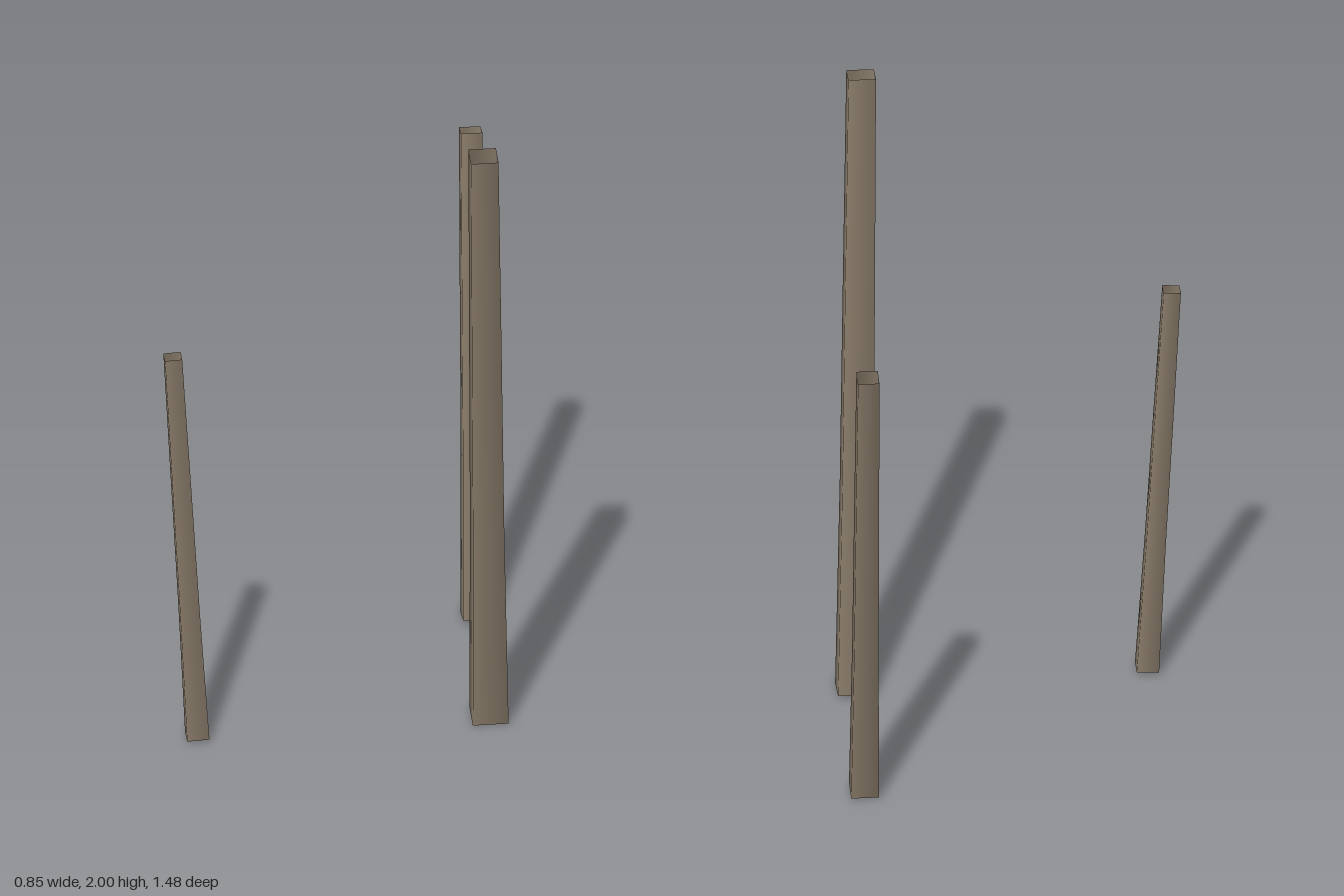
import * as THREE from 'three';

export function createModel() {
  const group = new THREE.Group();
  const wood = new THREE.MeshStandardMaterial({ color: 0x8b7d6b, side: THREE.DoubleSide });
  wood.name = 'weathered wood';

  // Open four-sided post, tapering from its foot to its tip, slightly flared at the foot
  function post(name, foot, tip, footRadius, tipRadius) {
    const a = new THREE.Vector3(...foot);
    const axis = new THREE.Vector3(...tip).sub(a);
    const length = axis.length();
    const geometry = new THREE.CylinderGeometry(tipRadius, footRadius, length, 4, 3, true);
    const p = geometry.attributes.position;
    for (let i = 0; i < p.count; i++) {
      const t = p.getY(i) / length + 0.5;
      const waist = t > 0.1 && t < 0.5 ? 0.95 : t >= 0.5 && t < 0.9 ? 0.98 : 1;
      p.setX(i, p.getX(i) * waist);
      p.setZ(i, p.getZ(i) * waist);
    }
    const mesh = new THREE.Mesh(geometry, wood);
    mesh.name = name;
    mesh.position.copy(a).addScaledVector(axis, 0.5);
    mesh.quaternion.setFromUnitVectors(new THREE.Vector3(0, 1, 0), axis.normalize());
    group.add(mesh);
  }

  post('tallPost', [0.245, 0.007, -0.03], [0.365, 1.994, 0.142], 0.077, 0.059);
  post('middlePost', [-0.215, 0.012, -0.526], [-0.375, 1.537, -0.696], 0.06, 0.046);
  post('shortPost', [-0.342, 0.011, 0.648], [-0.392, 1.295, 0.704], 0.048, 0.037);

  return group;
}
